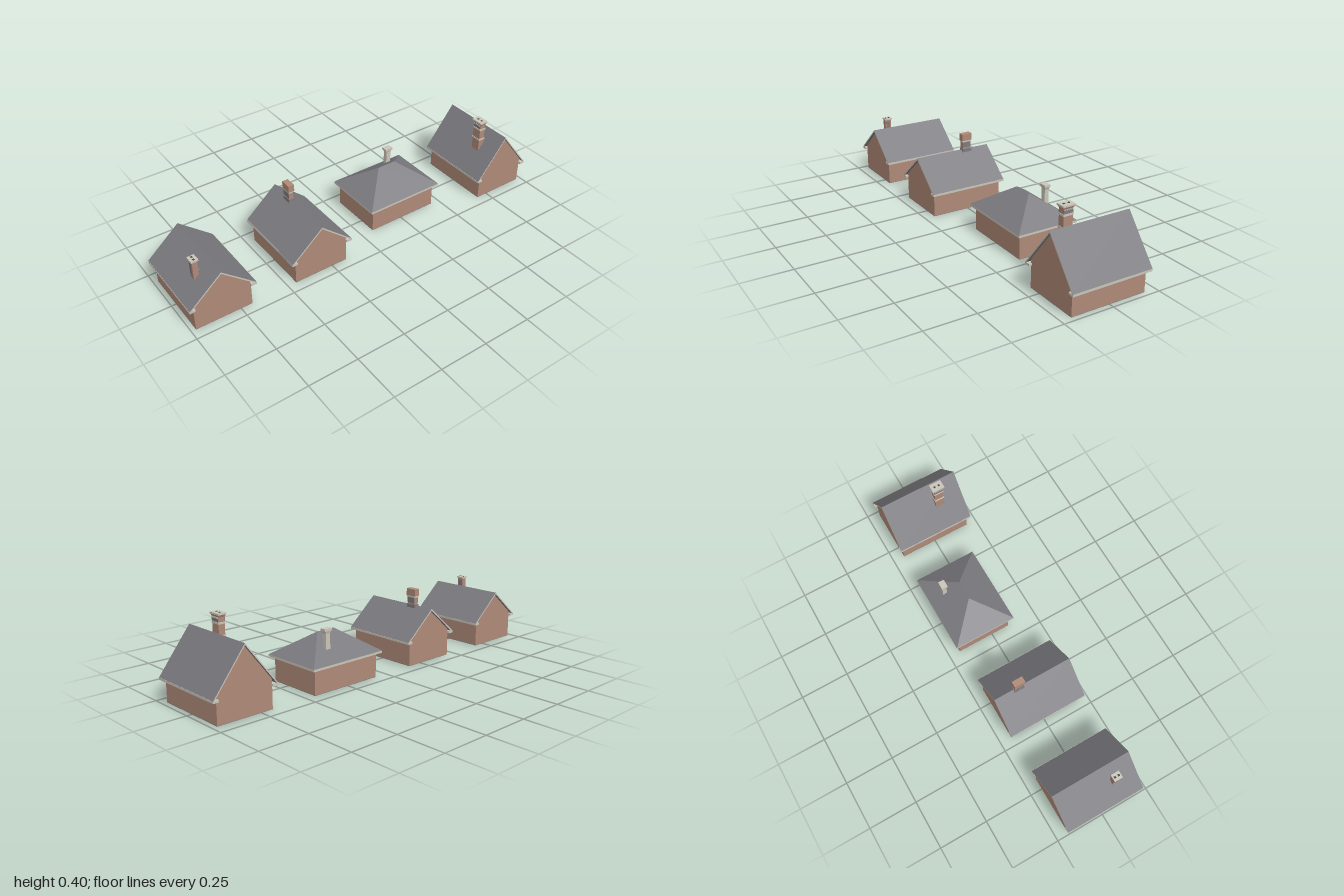
import * as THREE from 'three';
import { ConvexGeometry } from 'three/addons/geometries/ConvexGeometry.js';

const mat = (name, color) => {
  const m = new THREE.MeshStandardMaterial({ color });
  m.name = name;
  return m;
};

export function createModel() {
  const brick = mat('brick', 0xaf8977);
  const slate = mat('slate', 0x7c7b80);
  const trim = mat('pale stone trim', 0xcac5b9);
  const dark = mat('dark flue', 0x4a4646);

  const add = (parent, name, geometry, material) => {
    const mesh = new THREE.Mesh(geometry, material);
    mesh.name = name;
    parent.add(mesh);
    return mesh;
  };
  // Box given by its limits on each axis
  const box = (parent, name, material, [x0, x1], [y0, y1], [z0, z1]) => {
    const mesh = add(parent, name, new THREE.BoxGeometry(x1 - x0, y1 - y0, z1 - z0), material);
    mesh.position.set((x0 + x1) / 2, (y0 + y1) / 2, (z0 + z1) / 2);
    return mesh;
  };
  // Box centred on x and z
  const block = (parent, name, material, x, z, w, d, y0, y1) =>
    box(parent, name, material, [x - w / 2, x + w / 2], [y0, y1], [z - d / 2, z + d / 2]);
  // Outline in x and y, extruded from z0 to z1
  const prism = (parent, name, points, z0, z1, material) => {
    const shape = new THREE.Shape(points.map(p => new THREE.Vector2(...p)));
    const geo = new THREE.ExtrudeGeometry(shape, { depth: z1 - z0, bevelEnabled: false });
    geo.translate(0, 0, z0);
    return add(parent, name, geo, material);
  };
  // Four-sided flared course between two rectangles
  const flare = (parent, name, material, x, z, w0, d0, w1, d1, y0, y1) => {
    const pts = [];
    for (const [w, d, y] of [[w0, d0, y0], [w1, d1, y1]])
      for (const sx of [-1, 1]) for (const sz of [-1, 1])
        pts.push(new THREE.Vector3(x + sx * w / 2, y, z + sz * d / 2));
    return add(parent, name, new ConvexGeometry(pts), material);
  };
  const floor = (parent, xs, zs) => box(parent, 'floor', slate, xs, [0, 0.002], zs);

  function gableHouse(name, x, eave, ridge) {
    const house = new THREE.Group();
    house.name = name;
    house.position.x = x;
    const wall = 0.143, edge = 0.166, t = 0.009;
    const slope = (ridge - eave) / edge;
    const shoulder = ridge - t - slope * wall;

    // Brick walls with gables
    prism(house, 'walls', [[-wall, 0.002], [wall, 0.002], [wall, shoulder], [0, ridge - t], [-wall, shoulder]],
      -0.189, 0.197, brick);
    floor(house, [-wall, wall], [-0.189, 0.197]);
    // Thin roof slab with pale verge ends
    prism(house, 'roof', [[-edge, eave - t], [0, ridge - t], [edge, eave - t], [edge, eave], [0, ridge], [-edge, eave]],
      -0.203, 0.212, [trim, slate]);
    // Boxed eaves
    for (const s of [-1, 1]) {
      const xs = s < 0 ? [-edge - 0.001, -wall + 0.005] : [wall - 0.005, edge + 0.001];
      box(house, 'eave', trim, xs, [eave - 0.011, eave], [-0.203, 0.212]);
    }
    return house;
  }

  // Slate panels on both x sides of a chimney shaft
  const panels = (parent, x, z, w, d, y0, y1) => {
    for (const s of [-1, 1]) block(parent, 'chimneyPanel', slate, x + s * w / 2, z, 0.003, d, y0, y1);
  };
  const flues = (parent, x, z, y, gap) => {
    for (const s of [-1, 1]) block(parent, 'flue', dark, x, z + s * gap, 0.01, 0.01, y, y + 0.001);
  };

  const model = new THREE.Group();
  model.name = 'houses';

  // House with slim chimney on its left slope
  const first = gableHouse('slimChimneyHouse', -0.834, 0.129, 0.272);
  const c1 = new THREE.Group();
  c1.name = 'chimney';
  first.add(c1);
  block(c1, 'shaft', brick, -0.072, 0.096, 0.026, 0.034, 0.18, 0.299);
  panels(c1, -0.072, 0.096, 0.026, 0.02, 0.225, 0.288);
  block(c1, 'cap', trim, -0.072, 0.096, 0.036, 0.043, 0.298, 0.306);
  flues(c1, -0.072, 0.096, 0.306, 0.01);
  block(c1, 'flashing', slate, -0.053, 0.096, 0.014, 0.02, 0.215, 0.235);

  // House with chimney across the ridge
  const second = gableHouse('ridgeChimneyHouse', -0.312, 0.129, 0.272);
  const c2 = new THREE.Group();
  c2.name = 'chimney';
  second.add(c2);
  block(c2, 'shaft', brick, 0, -0.073, 0.024, 0.046, 0.23, 0.33);
  panels(c2, 0, -0.073, 0.024, 0.046, 0.285, 0.312);
  block(c2, 'flashing', slate, 0, -0.073, 0.03, 0.052, 0.25, 0.276);
  block(c2, 'band', trim, 0, -0.073, 0.029, 0.052, 0.313, 0.321);
  block(c2, 'crown', brick, 0, -0.073, 0.031, 0.056, 0.321, 0.356);

  // House with hipped roof
  const hip = new THREE.Group();
  hip.name = 'hippedHouse';
  model.add(hip);
  box(hip, 'walls', brick, [0.068, 0.451], [0.002, 0.124], [-0.191, 0.095]);
  floor(hip, [0.068, 0.451], [-0.191, 0.095]);
  box(hip, 'eaves', trim, [0.047, 0.473], [0.122, 0.133], [-0.212, 0.115]);
  const roofPoints = [[0.21, 0.246, -0.049], [0.31, 0.246, -0.049]];
  for (const x of [0.047, 0.473]) for (const z of [-0.212, 0.115]) roofPoints.push([x, 0.133, z]);
  add(hip, 'roof', new ConvexGeometry(roofPoints.map(p => new THREE.Vector3(...p))), slate);
  const c3 = new THREE.Group();
  c3.name = 'chimney';
  hip.add(c3);
  block(c3, 'shaft', trim, 0.326, -0.13, 0.026, 0.022, 0.16, 0.268);
  flare(c3, 'corbel', trim, 0.326, -0.13, 0.026, 0.022, 0.038, 0.028, 0.258, 0.27);
  block(c3, 'cap', trim, 0.326, -0.13, 0.042, 0.031, 0.27, 0.281);

  // Steep house with banded chimney
  const steep = gableHouse('steepHouse', 0.832, 0.119, 0.33);
  const c4 = new THREE.Group();
  c4.name = 'chimney';
  steep.add(c4);
  const [x4, z4] = [-0.067, 0.082];
  block(c4, 'shaft', brick, x4, z4, 0.033, 0.048, 0.2, 0.38);
  panels(c4, x4, z4, 0.033, 0.048, 0.357, 0.374);
  for (const y of [0.287, 0.346]) block(c4, 'band', trim, x4, z4, 0.038, 0.053, y, y + 0.009);
  // Small teeth under the flared crown
  for (const s of [-1, 1])
    for (let i = -2; i <= 2; i++)
      block(c4, 'dentil', trim, x4 + s * 0.018, z4 + i * 0.0095, 0.004, 0.005, 0.372, 0.379);
  flare(c4, 'crown', brick, x4, z4, 0.034, 0.05, 0.043, 0.06, 0.377, 0.389);
  block(c4, 'cap', trim, x4, z4, 0.046, 0.064, 0.388, 0.396);
  flues(c4, x4, z4, 0.396, 0.012);
  block(c4, 'flashing', slate, x4 + 0.022, z4, 0.014, 0.024, 0.265, 0.286);

  model.add(first, second, steep);
  return model;
}
